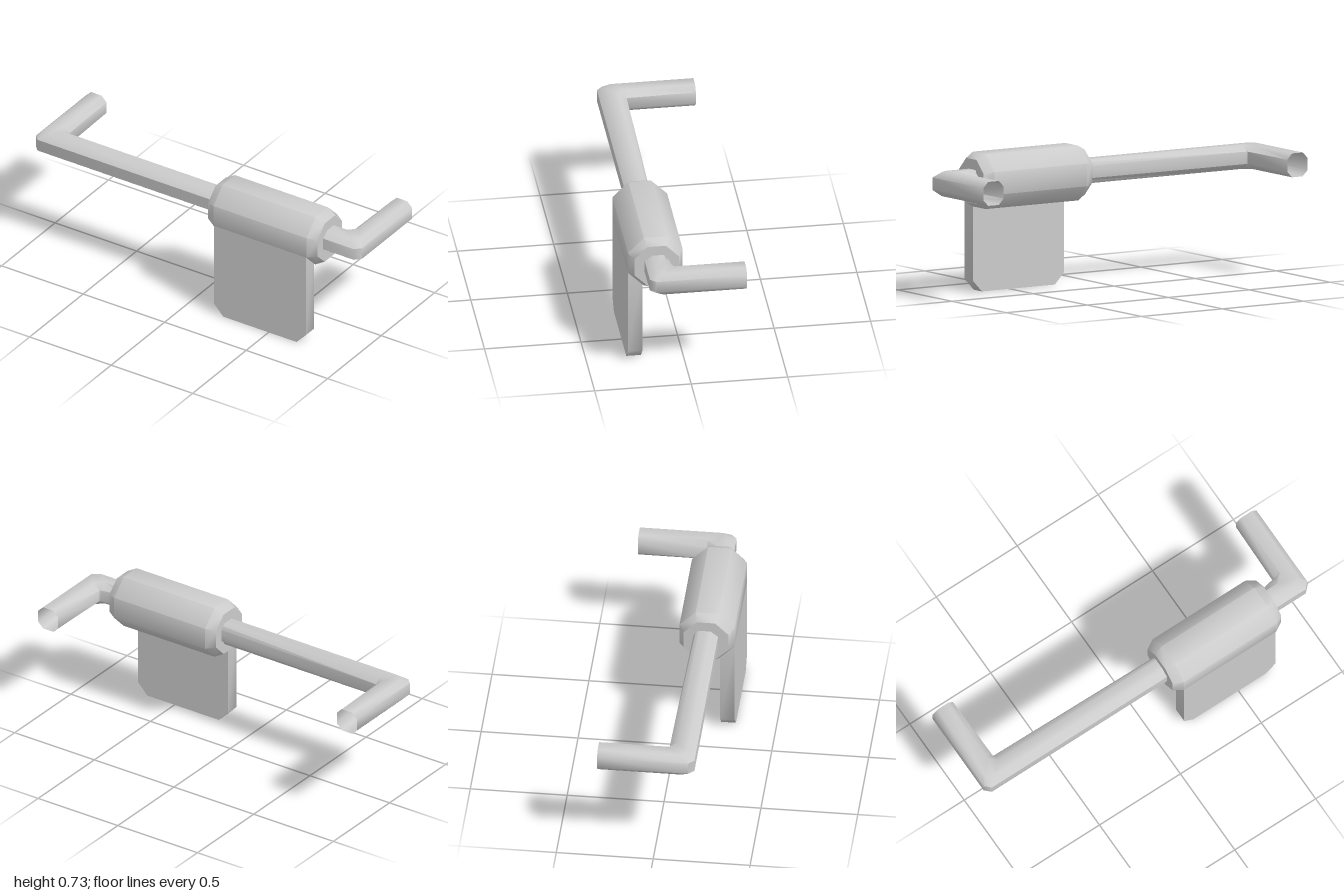
import * as THREE from 'three';
import { toCreasedNormals } from 'three/addons/utils/BufferGeometryUtils.js';

const CREASE = 0.87;
const AXIS_Y = 0.588;
const AXIS_Z = 0.148;
const material = new THREE.MeshStandardMaterial({ color: 0xcccccc, side: THREE.DoubleSide });

function addPart(group, name, geometry) {
  const mesh = new THREE.Mesh(toCreasedNormals(geometry, CREASE), material);
  mesh.name = name;
  group.add(mesh);
  return mesh;
}

// Bent octagonal bar: each station lists [x, z] from the outer to the inner side
function barGeometry() {
  const wallEnd = [[-1, -0.29], [-0.97, -0.29], [-0.905, -0.29], [-0.875, -0.29]];
  const bendStart = [[-1, 0.18], [-0.97, 0.14], [-0.905, 0.07], [-0.868, 0.068]];
  const bendEnd = [[-0.97, 0.21], [-0.93, 0.17], [-0.865, 0.11], [-0.864, 0.07]];
  const middle = [[0.75, 0.21], [0.75, 0.17], [0.75, 0.11], [0.75, 0.092]];
  const mirror = (station) => station.map(([x, z]) => [-x, z]);
  const stations = [wallEnd, bendStart, bendEnd, middle,
    mirror(bendEnd), mirror(bendStart), mirror(wallEnd)];

  const heights = [0.032, 0.062, 0.062, 0.032];
  const positions = [];
  const index = [];
  stations.forEach((station, i) => {
    for (let j = 0; j < 8; j++) {
      const k = j < 4 ? j : 7 - j;
      const [x, z] = station[k];
      positions.push(x, AXIS_Y + (j < 4 ? heights[k] : -heights[k]), z);
      if (i < stations.length - 1) {
        const a = i * 8 + j;
        const b = i * 8 + (j + 1) % 8;
        index.push(a, a + 8, b, b, a + 8, b + 8);
      }
    }
  });
  const geometry = new THREE.BufferGeometry();
  geometry.setAttribute('position', new THREE.Float32BufferAttribute(positions, 3));
  geometry.setIndex(index);
  geometry.computeVertexNormals();
  return geometry;
}

// Octagonal roll with bevelled rims, lying along x
function rollGeometry() {
  const apothem = 1 / Math.cos(Math.PI / 8);
  const profile = [[0, -0.335], [0.115, -0.335], [0.142, -0.285],
    [0.142, 0.285], [0.115, 0.335], [0, 0.335]]
    .map(([r, y]) => new THREE.Vector2(r * apothem, y));
  return new THREE.LatheGeometry(profile, 8, Math.PI / 8)
    .rotateZ(-Math.PI / 2)
    .translate(0.447, AXIS_Y, AXIS_Z);
}

// Hanging sheet with clipped lower corners
function sheetGeometry() {
  const outline = [[0.165, 0.53], [0.165, 0.06], [0.222, 0],
    [0.672, 0], [0.728, 0.06], [0.728, 0.53]]
    .map(([x, y]) => new THREE.Vector2(x, y));
  return new THREE.ExtrudeGeometry(new THREE.Shape(outline), { depth: 0.076, bevelEnabled: false })
    .translate(0, 0, 0.214);
}

export function createModel() {
  const group = new THREE.Group();
  group.name = 'paperRollHolder';
  addPart(group, 'holderBar', barGeometry());
  addPart(group, 'paperRoll', rollGeometry());
  addPart(group, 'hangingSheet', sheetGeometry());
  return group;
}
